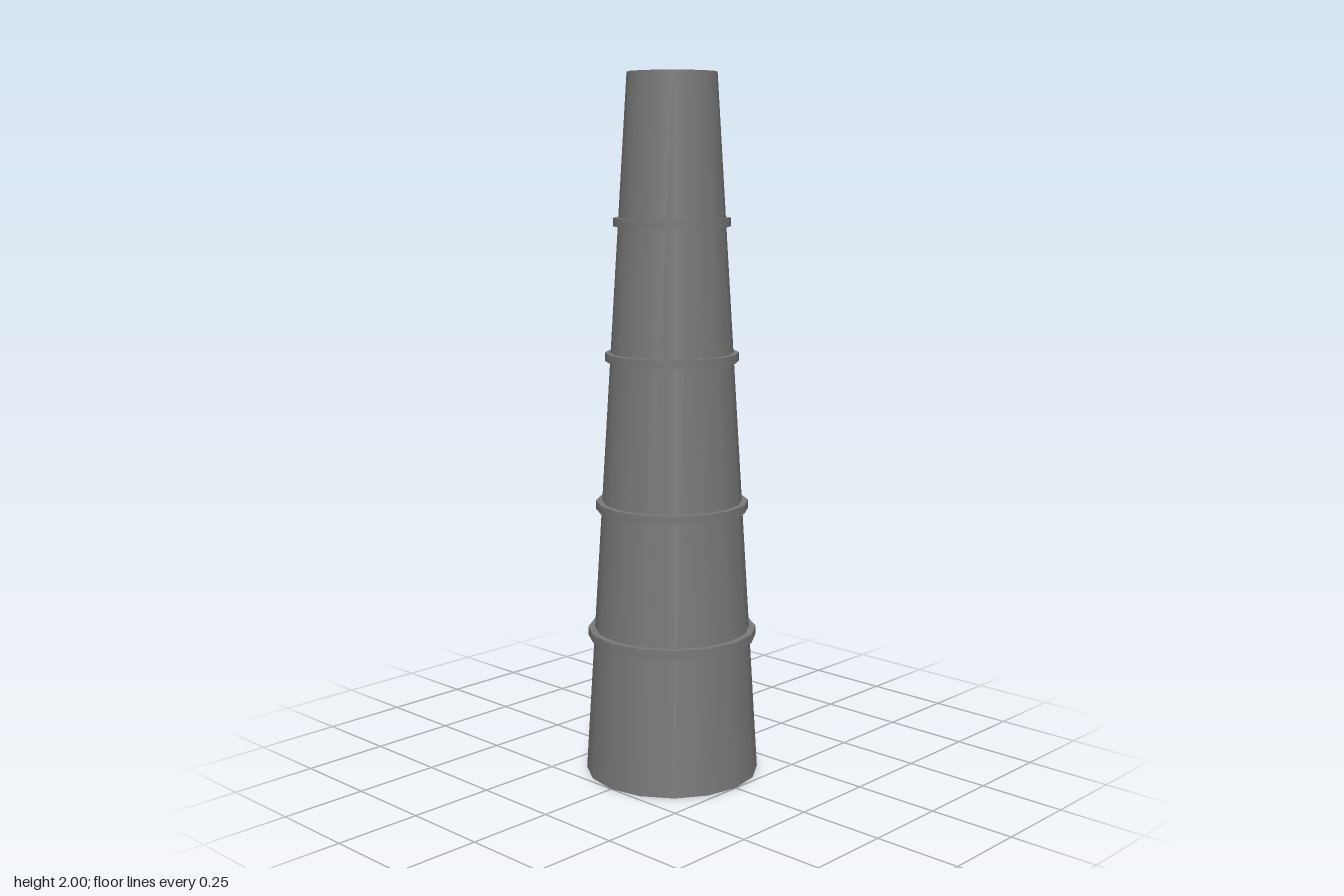
import * as THREE from 'three';
import { toCreasedNormals } from 'three/addons/utils/BufferGeometryUtils.js';

const SIDES = 16;
const HEIGHT = 2;
const BOTTOM_RADIUS = 0.25;
const TOP_RADIUS = 0.125;

const wallRadius = (y) => BOTTOM_RADIUS + (TOP_RADIUS - BOTTOM_RADIUS) * (y / HEIGHT);

export function createModel() {
  const group = new THREE.Group();
  group.name = 'chimney';
  const material = new THREE.MeshStandardMaterial({ color: 0x777777, side: THREE.DoubleSide });

  // Tapered stack, a thin shell open at both ends
  const stackGeometry = new THREE.CylinderGeometry(TOP_RADIUS, BOTTOM_RADIUS, HEIGHT, SIDES, 1, true);
  stackGeometry.translate(0, HEIGHT / 2, 0);
  const stack = new THREE.Mesh(stackGeometry, material);
  stack.name = 'stack';
  group.add(stack);

  // Raised bands: [centre height, outer radius]
  const bands = [[0.414, 0.243], [0.788, 0.218], [1.214, 0.189], [1.591, 0.164]];
  const half = 0.012;
  bands.forEach(([y, radius], i) => {
    const profile = [
      new THREE.Vector2(wallRadius(y - half), y - half),
      new THREE.Vector2(radius, y - half),
      new THREE.Vector2(radius, y + half),
      new THREE.Vector2(wallRadius(y + half), y + half),
    ];
    const band = new THREE.Mesh(toCreasedNormals(new THREE.LatheGeometry(profile, SIDES), 0.6), material);
    band.name = `band${i + 1}`;
    group.add(band);
  });

  return group;
}
